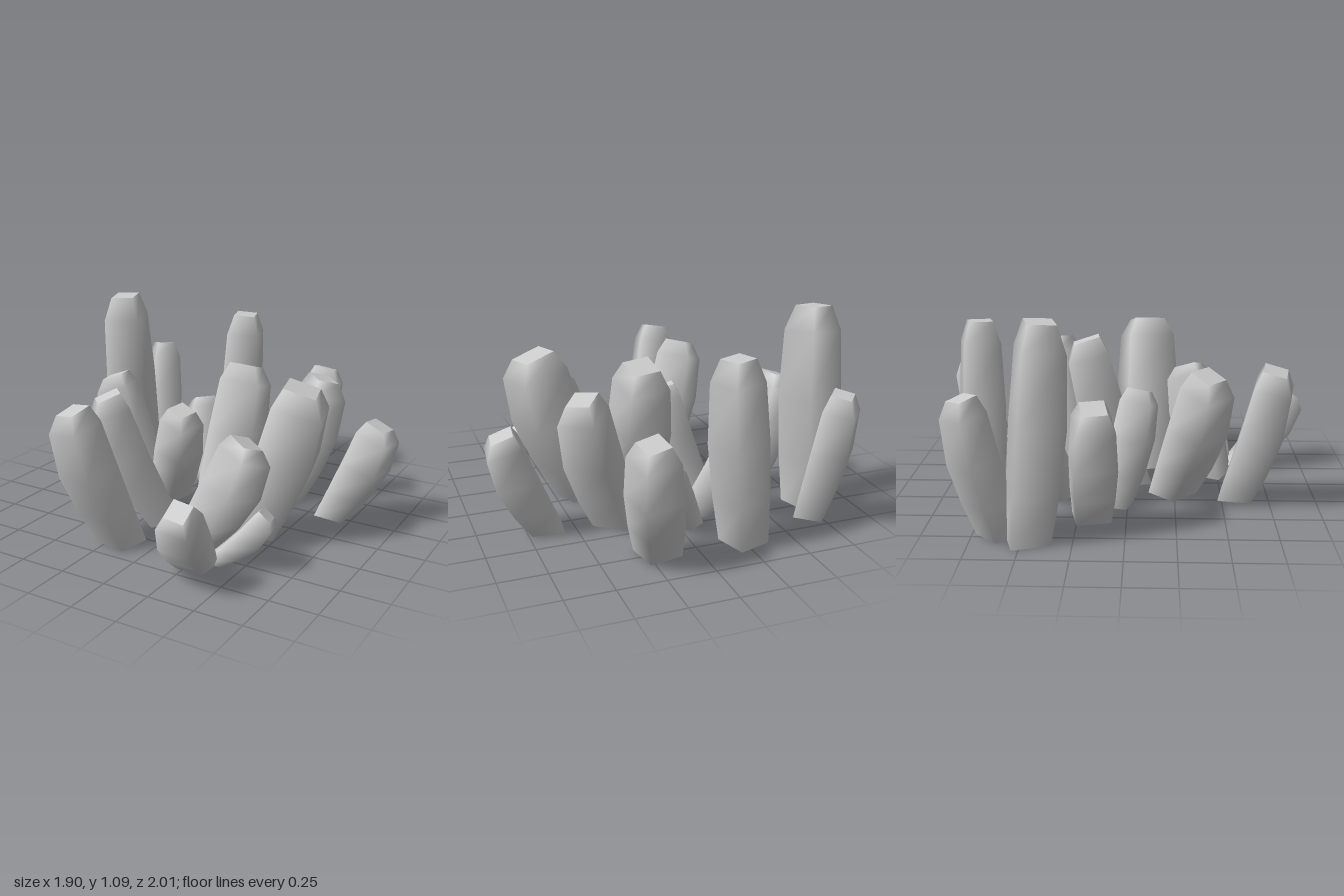
import * as THREE from 'three';

// Each tube: base x, base z, tip x, tip z, height, width, twist in degrees
const TUBES = [
  [0.20, -0.74, 0.29, -0.92, 0.65, 0.21, -10],
  [-0.25, -0.77, -0.19, -0.77, 0.96, 0.21, -17],
  [-0.72, -0.62, -0.78, -0.76, 0.71, 0.18, 42],
  [-0.78, -0.47, -0.81, -0.38, 1.08, 0.23, -17],
  [-0.50, -0.18, -0.73, -0.15, 0.65, 0.21, -12],
  [-0.18, -0.36, -0.34, -0.51, 0.47, 0.20, -45],
  [-0.15, 0.24, -0.38, 0.41, 0.72, 0.22, -45],
  [0.28, -0.34, 0.48, -0.44, 0.73, 0.22, 40],
  [-0.30, -0.06, -0.14, 0.06, 0.58, 0.19, 15],
  [-0.06, -0.50, 0.09, -0.61, 0.37, 0.14, -35],
  [0.64, -0.29, 0.86, -0.32, 0.55, 0.20, 7],
  [0.34, 0.10, 0.59, 0.09, 0.82, 0.29, -15],
  [0.06, 0.01, 0.10, -0.24, 0.80, 0.25, -7],
  [-0.19, 0.58, -0.34, 0.75, 0.74, 0.21, 10],
  [0.17, 0.46, 0.41, 0.34, 0.58, 0.22, 25],
  [0.34, 0.53, 0.60, 0.48, 0.29, 0.13, -8],
  [0.29, 0.62, 0.38, 0.93, 0.43, 0.18, 0],
];

// Rings along a tube: height fraction, share of the lean, width factor
const RINGS = [
  [0, 0, 0.84],
  [0.25, 0.35, 0.96],
  [0.55, 0.71, 1.02],
  [0.88, 0.97, 0.9],
  [1, 1, 0.58],
];

const UP = new THREE.Vector3(0, 1, 0);
const CORNERS = [[1, 1], [-1, 1], [-1, -1], [1, -1]];

// Four-sided leaning tube, open at the foot, with a flat tapered tip
function tubeGeometry([bx, bz, tx, tz, height, width, twist]) {
  const angle = THREE.MathUtils.degToRad(-twist);
  const points = [];
  const index = [];
  for (const [t, lean, size] of RINGS) {
    const center = new THREE.Vector3(bx + (tx - bx) * lean, height * t, bz + (tz - bz) * lean);
    const direction = new THREE.Vector3((tx - bx) * t, height, (tz - bz) * t).normalize();
    const tilt = new THREE.Quaternion().setFromUnitVectors(UP, direction);
    for (const [u, v] of CORNERS) {
      const half = width * size / 2;
      points.push(new THREE.Vector3(u * half, 0, v * half)
        .applyAxisAngle(UP, angle).applyQuaternion(tilt).add(center));
    }
  }
  // Smooth walls
  for (let r = 0; r < RINGS.length - 1; r++) {
    for (let i = 0; i < 4; i++) {
      const a = r * 4 + i, b = r * 4 + (i + 1) % 4;
      index.push(b, a, a + 4, b, a + 4, b + 4);
    }
  }
  // Tip face with its own corners, so its rim stays sharp
  const n = points.length;
  points.push(...points.slice(n - 4).map((p) => p.clone()));
  index.push(n + 3, n + 2, n + 1, n + 3, n + 1, n);

  const geometry = new THREE.BufferGeometry().setFromPoints(points);
  geometry.setIndex(index);
  geometry.computeVertexNormals();
  return geometry;
}

export function createModel() {
  const group = new THREE.Group();
  group.name = 'tubeCluster';
  const material = new THREE.MeshStandardMaterial({ color: 0xcccccc, side: THREE.DoubleSide });
  TUBES.forEach((tube, i) => {
    const mesh = new THREE.Mesh(tubeGeometry(tube), material);
    mesh.name = `tube${i + 1}`;
    group.add(mesh);
  });
  return group;
}
